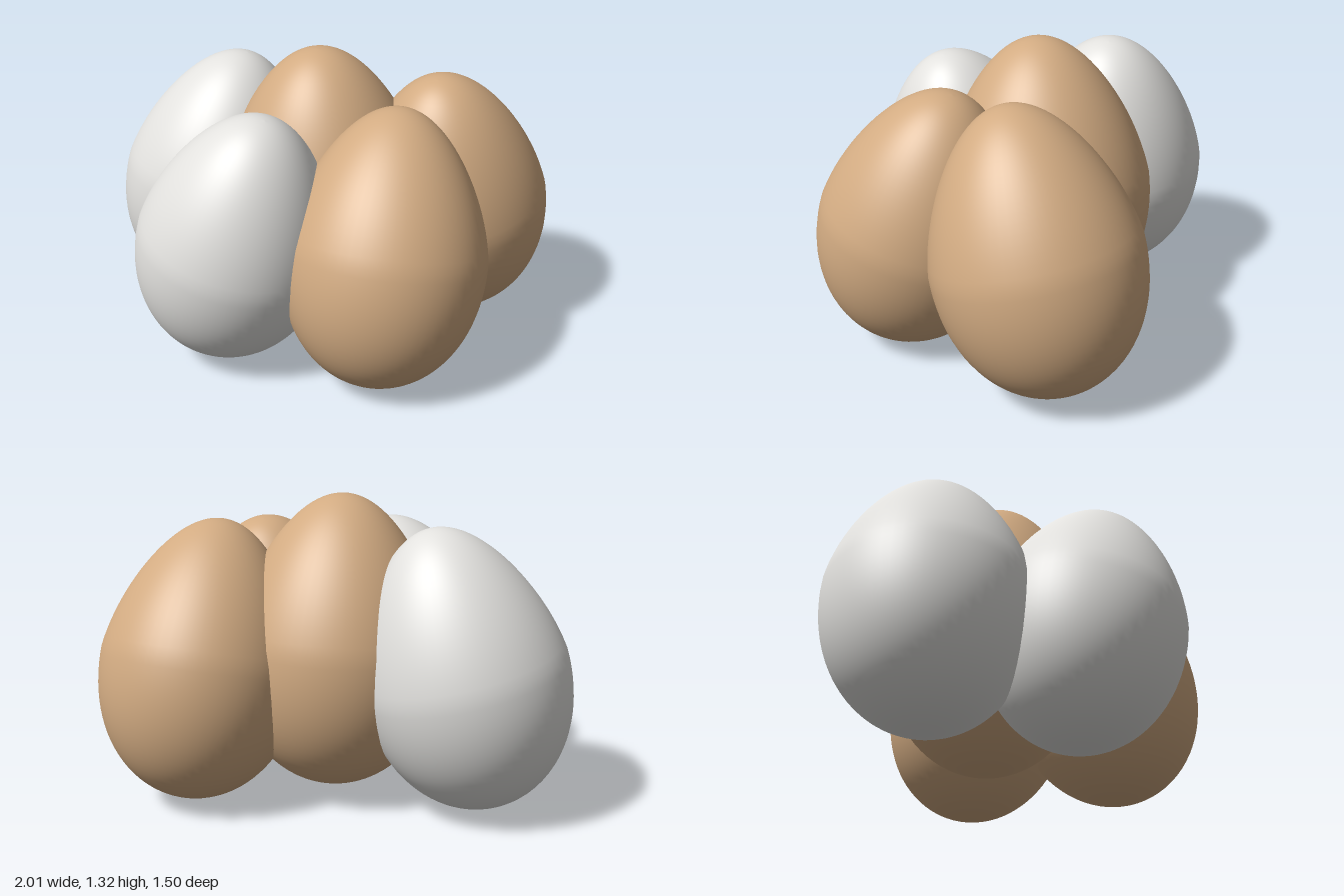
import * as THREE from 'three';

// Egg outline of unit radius: full below the equator, tapered above it
function eggGeometry(radius, halfLength) {
  const steps = 48;
  const profile = [];
  for (let i = 0; i <= steps; i++) {
    const angle = -Math.PI / 2 + (Math.PI * i) / steps;
    const t = Math.sin(angle);
    const girth = t > 0 ? 1 - 0.22 * t : 1 - 0.08 * t;
    const r = i === 0 || i === steps ? 0 : Math.cos(angle) * girth * radius;
    profile.push(new THREE.Vector2(r, t * halfLength));
  }
  return new THREE.LatheGeometry(profile, 64);
}

export function createModel() {
  const group = new THREE.Group();
  group.name = 'eggCluster';

  const brown = new THREE.MeshStandardMaterial({ color: 0xd2ab82 });
  brown.name = 'brownShell';
  const white = new THREE.MeshStandardMaterial({ color: 0xe2e1de });
  white.name = 'whiteShell';

  // Centre, lean of the tip towards +x and +z in degrees, radius, half length
  const eggs = [
    { name: 'backRightEgg', shell: white, at: [-0.55, 0.62, -0.305], lean: [14, -2], size: [0.437, 0.605] },
    { name: 'backLeftEgg', shell: brown, at: [0.555, 0.62, -0.295], lean: [-6, 15], size: [0.437, 0.605] },
    { name: 'middleEgg', shell: brown, at: [-0.005, 0.687, -0.155], lean: [-2, 5], size: [0.46, 0.633] },
    { name: 'frontRightEgg', shell: white, at: [-0.29, 0.59, 0.3], lean: [15, 7], size: [0.428, 0.586] },
    { name: 'frontLeftEgg', shell: brown, at: [0.35, 0.59, 0.285], lean: [2.5, -16], size: [0.434, 0.6] },
  ];

  const up = new THREE.Vector3(0, 1, 0);
  for (const { name, shell, at, lean, size } of eggs) {
    const egg = new THREE.Mesh(eggGeometry(...size), shell);
    egg.name = name;
    egg.position.set(...at);
    const [tx, tz] = lean.map((d) => Math.tan(THREE.MathUtils.degToRad(d)));
    egg.quaternion.setFromUnitVectors(up, new THREE.Vector3(tx, 1, tz).normalize());
    group.add(egg);
  }
  return group;
}
